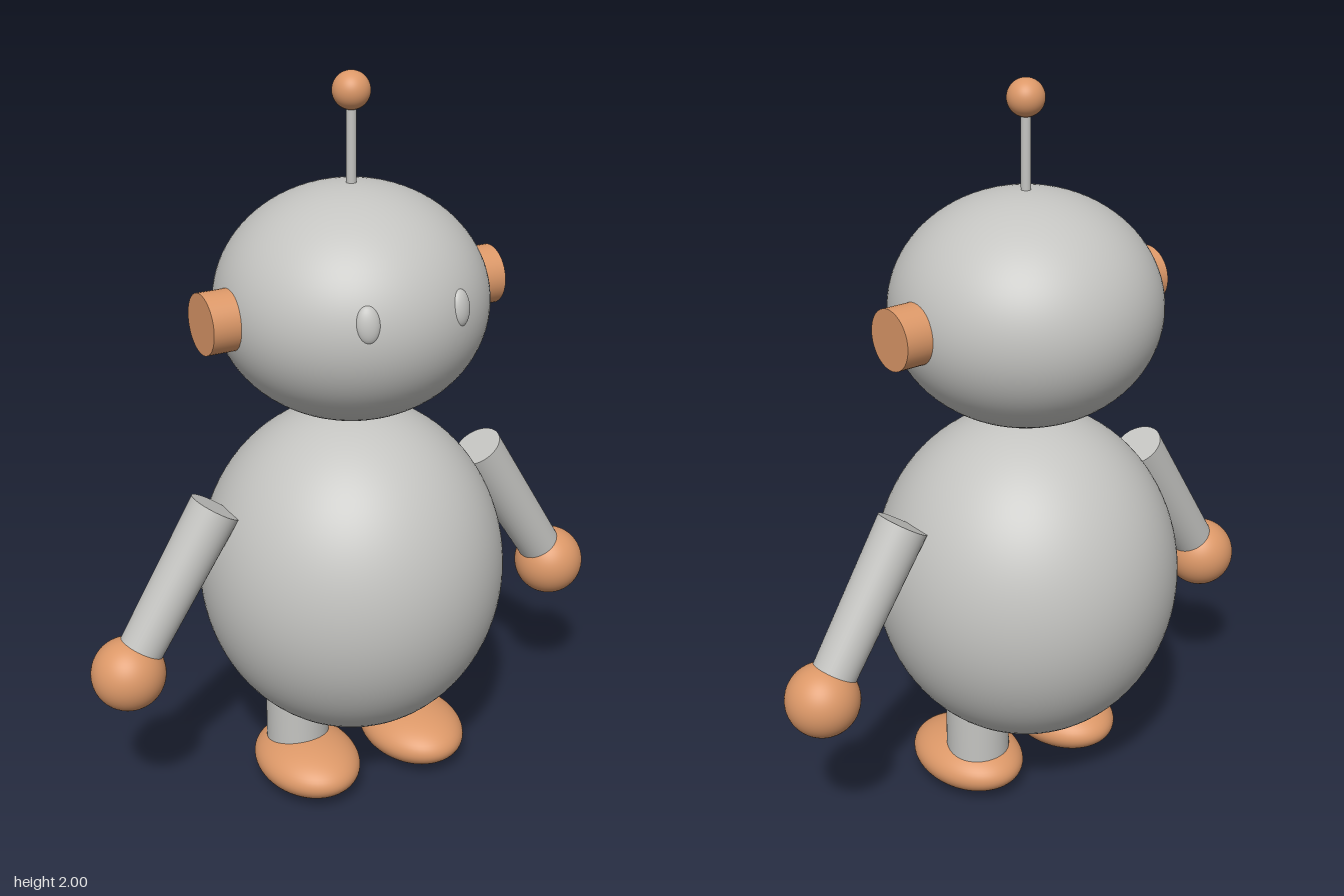
import * as THREE from 'three';

export function createModel() {
  const robot = new THREE.Group();
  robot.name = 'robot';

  const grey = new THREE.MeshStandardMaterial({ color: 0xc4c4c1 });
  grey.name = 'grey metal';
  const copper = new THREE.MeshStandardMaterial({ color: 0xdc9868 });
  copper.name = 'copper orange';

  const add = (name, geometry, material) => {
    const mesh = new THREE.Mesh(geometry, material);
    mesh.name = name;
    robot.add(mesh);
    return mesh;
  };

  // Ellipsoid from centre and radii
  const ellipsoid = (name, centre, radii, material, detail = 32) => {
    const geometry = new THREE.SphereGeometry(1, detail * 2, detail);
    geometry.scale(...radii);
    const mesh = add(name, geometry, material);
    mesh.position.set(...centre);
    return mesh;
  };

  // Round rod from point a (radius ra) to point b (radius rb)
  const rod = (name, a, b, ra, rb, material) => {
    const start = new THREE.Vector3(...a);
    const end = new THREE.Vector3(...b);
    const axis = end.clone().sub(start);
    const mesh = add(name, new THREE.CylinderGeometry(rb, ra, axis.length(), 40), material);
    mesh.position.copy(start).add(end).multiplyScalar(0.5);
    mesh.quaternion.setFromUnitVectors(new THREE.Vector3(0, 1, 0), axis.normalize());
    return mesh;
  };

  // Body and head
  ellipsoid('body', [0, 0.637, 0], [0.421, 0.472, 0.421], grey, 48);
  ellipsoid('head', [0, 1.408, 0], [0.361, 0.31, 0.361], grey, 48);

  // Antenna
  rod('antennaRod', [0, 1.68, 0], [0, 1.95, 0], 0.013, 0.013, grey);
  ellipsoid('antennaBall', [0, 1.951, 0], [0.049, 0.049, 0.049], copper);

  // Paired parts
  for (const [side, s] of [['left', 1], ['right', -1]]) {
    const eye = ellipsoid(side + 'Eye', [s * 0.13, 1.46, 0.322], [0.031, 0.048, 0.02], grey, 16);
    eye.rotation.set(-0.15, s * 0.37, 0);

    rod(side + 'Ear', [s * 0.345, 1.41, 0], [s * 0.426, 1.41, 0], 0.08, 0.08, copper);

    rod(side + 'Arm', [s * 0.405, 0.9, 0], [s * 0.672, 0.475, 0], 0.07, 0.06, grey);
    ellipsoid(side + 'Hand', [s * 0.672, 0.473, 0], [0.1, 0.1, 0.1], copper);

    rod(side + 'Leg', [s * 0.174, 0.07, 0], [s * 0.174, 0.36, 0], 0.088, 0.088, grey);
    ellipsoid(side + 'Foot', [s * 0.171, 0.077, 0.051], [0.14, 0.077, 0.183], copper);
  }

  return robot;
}
